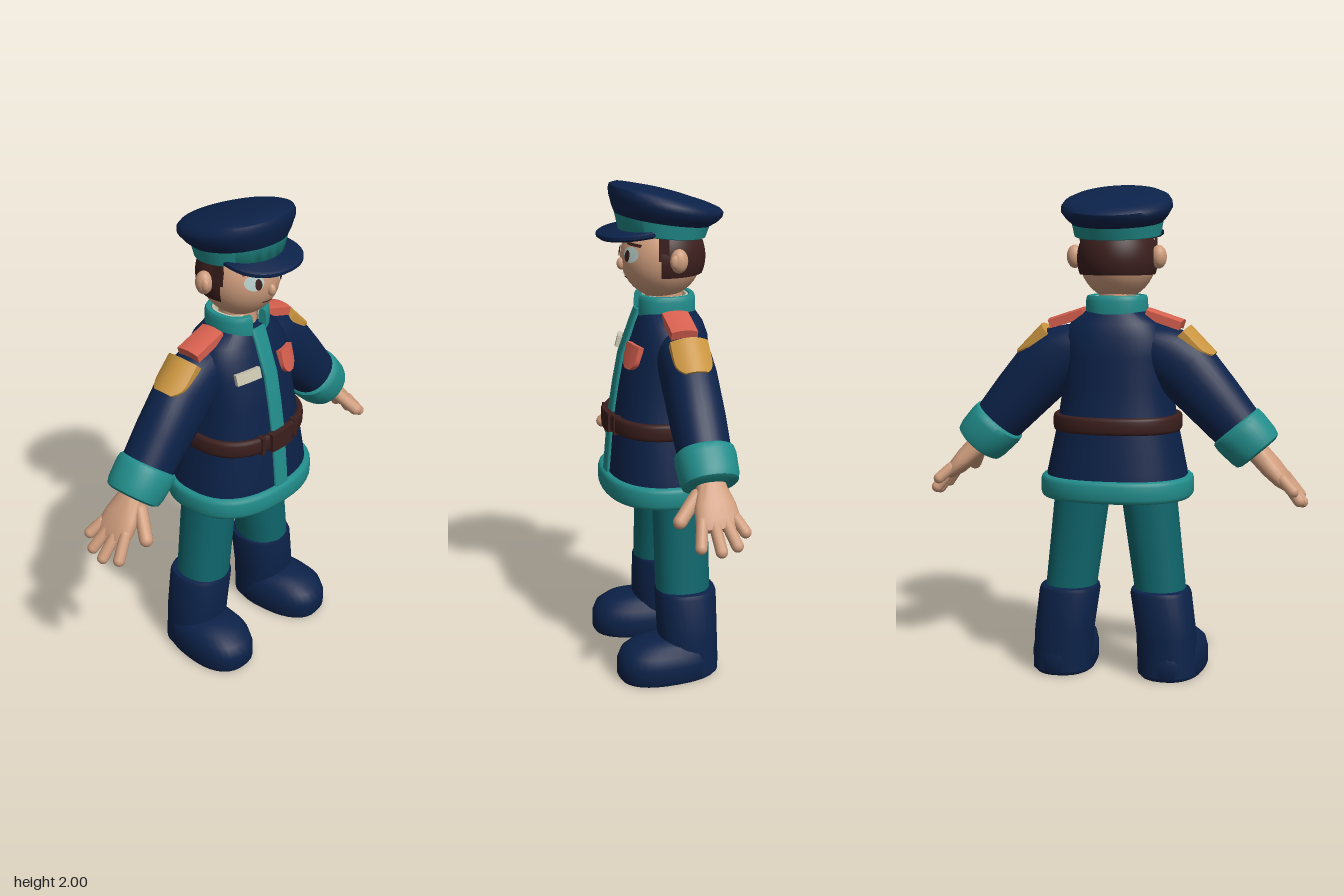
import * as THREE from 'three';
import { toCreasedNormals } from 'three/addons/utils/BufferGeometryUtils.js';

const V = (x, y, z) => new THREE.Vector3(x, y, z);
const mat = (name, color, side = THREE.FrontSide) => {
  const m = new THREE.MeshStandardMaterial({ color, side });
  m.name = name;
  return m;
};
const pw = (t, n) => Math.sign(t) * Math.abs(t) ** (2 / n);

// Skin over rings {c, u, v}: centre and two half axes, n = squareness
function loft(rings, n = 2, seg = 32, closed = false) {
  const pos = [], idx = [], R = rings.length;
  for (const { c, u, v } of rings) {
    for (let j = 0; j < seg; j++) {
      const a = (j / seg) * Math.PI * 2;
      const p = c.clone().addScaledVector(u, pw(Math.cos(a), n)).addScaledVector(v, pw(Math.sin(a), n));
      pos.push(p.x, p.y, p.z);
    }
  }
  const dir = rings[1].c.clone().sub(rings[0].c);
  const flip = rings[0].u.clone().cross(rings[0].v).dot(dir) < 0;
  const tri = (a, b, c) => (flip ? idx.push(a, c, b) : idx.push(a, b, c));
  for (let i = 0; i < (closed ? R : R - 1); i++) {
    const k = (i + 1) % R;
    for (let j = 0; j < seg; j++) {
      const m = (j + 1) % seg;
      tri(i * seg + j, i * seg + m, k * seg + m);
      tri(i * seg + j, k * seg + m, k * seg + j);
    }
  }
  if (!closed) {
    const s = R * seg, last = (R - 1) * seg;
    for (const r of [rings[0], rings[R - 1]]) pos.push(r.c.x, r.c.y, r.c.z);
    for (let j = 0; j < seg; j++) {
      const m = (j + 1) % seg;
      tri(s, m, j);
      tri(s + 1, last + j, last + m);
    }
  }
  const g = new THREE.BufferGeometry();
  g.setAttribute('position', new THREE.Float32BufferAttribute(pos, 3));
  g.setIndex(idx);
  return toCreasedNormals(g, 0.8);
}

// Ring across the body from its front and back points
const ring = (rx, yF, zF, yB, zB, x = 0) => ({
  c: V(x, (yF + yB) / 2, (zF + zB) / 2), u: V(rx, 0, 0), v: V(0, (yF - yB) / 2, (zF - zB) / 2),
});

// Band running around the body, open when gap > 0
function band(y, rx, zF, zB, thick, half, gap = 0) {
  const rings = [], N = 48;
  for (let i = 0; i < (gap ? N + 1 : N); i++) {
    const a = gap + (i / N) * (Math.PI * 2 - 2 * gap), s = Math.sin(a), c = Math.cos(a);
    rings.push({
      c: V(rx * pw(s, 2.4), y, (zF + zB) / 2 + ((zF - zB) / 2) * pw(c, 2.4)),
      u: V(s * thick, 0, c * thick), v: V(0, half, 0),
    });
  }
  return loft(rings, 3.5, 16, !gap);
}

// Plate bent over a curved surface, with an optional pointed lower end
function plate(w, h, d, bend, point = 0) {
  const g = new THREE.BoxGeometry(w, h, d, 10, 8, 1), p = g.attributes.position;
  for (let i = 0; i < p.count; i++) {
    const y = p.getY(i), t = Math.max(0, (-2 * y) / h);
    const x = p.getX(i) * (1 - point * t ** 3);
    p.setXYZ(i, x, y, p.getZ(i) - bend * x * x);
  }
  g.computeVertexNormals();
  return g;
}

export function createModel() {
  const root = new THREE.Group();
  const navy = mat('navy cloth', 0x0c2249), teal = mat('teal trim', 0x218d8b);
  const trouser = mat('dark teal cloth', 0x0f666c), skin = mat('skin', 0xcf9d7d);
  const brown = mat('dark brown', 0x3b1f1d, THREE.DoubleSide), coral = mat('coral', 0xd7604f);
  const gold = mat('gold', 0xc9943f), cream = mat('cream', 0xcac6b0), eyeWhite = mat('eye white', 0xb9d0cb);
  const add = (name, geo, m, x = 0, y = 0, z = 0) => {
    const mesh = new THREE.Mesh(geo, m);
    mesh.name = name;
    mesh.position.set(x, y, z);
    root.add(mesh);
    return mesh;
  };
  const ball = (name, m, x, y, z, sx, sy, sz) =>
    add(name, new THREE.SphereGeometry(1, 28, 20), m, x, y, z).scale.set(sx, sy, sz);
  const orient = (mesh, up, normal) => {
    const z = normal.normalize(), x = up.clone().cross(z).normalize();
    mesh.quaternion.setFromRotationMatrix(new THREE.Matrix4().makeBasis(x, z.clone().cross(x), z));
  };
  const finger = (name, a, b, r) => {
    const d = b.clone().sub(a), m = a.clone().add(b).multiplyScalar(0.5);
    const f = add(name, new THREE.CapsuleGeometry(r, d.length() - r, 6, 12), skin, m.x, m.y, m.z);
    f.quaternion.setFromUnitVectors(V(0, 1, 0), d.normalize());
  };

  // Coat: height, half width, front z, back z
  const coat = [[0.79, 0.292, 0.23, -0.235], [0.85, 0.285, 0.225, -0.23], [1.05, 0.243, 0.208, -0.2],
    [1.2, 0.22, 0.185, -0.185], [1.32, 0.22, 0.162, -0.182], [1.4, 0.215, 0.132, -0.175],
    [1.45, 0.185, 0.115, -0.158], [1.5, 0.12, 0.095, -0.125]];
  add('coat', loft(coat.map(([y, rx, f, b]) => ring(rx, y, f, y, b)), 2.4, 48), navy);
  add('placket', loft(coat.map(([y, , f]) => ({ c: V(-0.004, y, f), u: V(0.036, 0, 0), v: V(0, 0, 0.012) })), 5, 20), teal);
  add('hem', band(0.788, 0.287, 0.226, -0.231, 0.026, 0.045), teal);
  add('coatUnderside', loft([ring(0.28, 0.77, 0.22, 0.77, -0.225), ring(0.28, 0.8, 0.22, 0.8, -0.225)], 2.4), trouser);
  add('belt', band(1.048, 0.246, 0.212, -0.202, 0.016, 0.035), brown);
  add('buckle', plate(0.12, 0.078, 0.03, 1), brown, -0.005, 1.048, 0.224);
  for (const x of [-0.1, 0.09]) add('beltLoop', plate(0.02, 0.078, 0.03, 0), brown, x, 1.048, 0.207);
  add('collar', band(1.508, 0.108, 0.09, -0.118, 0.016, 0.053, 0.25), teal);
  add('innerCollar', band(1.512, 0.089, 0.07, -0.1, 0.008, 0.045, 0.5), cream);
  add('namePlate', plate(0.11, 0.045, 0.02, 1), cream, -0.115, 1.347, 0.148).rotation.set(-0.25, -0.28, 0);
  add('chestBadge', plate(0.095, 0.1, 0.024, 2, 0.65), coral, 0.112, 1.332, 0.15).rotation.set(-0.25, 0.28, 0);

  for (const s of [1, -1]) {
    // Sleeve and cuff: x, y, half height, half depth
    const n = V(0.76 * s, 0.65, 0), A = (x, y, h, d) => ({ c: V(x * s, y, -0.036), u: n.clone().multiplyScalar(h), v: V(0, 0, d) });
    add('sleeve', loft([A(0.06, 1.41, 0.05, 0.07), A(0.13, 1.375, 0.1, 0.095), A(0.2, 1.335, 0.127, 0.105),
      A(0.28, 1.275, 0.132, 0.106), A(0.4, 1.145, 0.118, 0.106), A(0.53, 1, 0.1, 0.1)], 2.2), navy);
    add('cuff', loft([A(0.485, 1.048, 0.1, 0.1), A(0.492, 1.04, 0.114, 0.114), A(0.51, 1.02, 0.117, 0.118),
      A(0.56, 0.967, 0.112, 0.114), A(0.578, 0.947, 0.105, 0.107), A(0.583, 0.941, 0.09, 0.092)], 2.2), teal);

    // Shoulder details
    orient(add('epaulette', plate(0.105, 0.15, 0.034, 3), coral, 0.2 * s, 1.472, -0.022), V(-0.95 * s, 0.31, 0), V(0.31 * s, 0.95, 0));
    orient(add('sleevePatch', plate(0.15, 0.15, 0.03, 5, 0.4), gold, 0.347 * s, 1.381, -0.034), V(-0.7 * s, 0.7, 0), V(0.72 * s, 0.7, 0));

    // Hand
    add('palm', loft([A(0.54, 0.985, 0.045, 0.05), A(0.59, 0.93, 0.044, 0.06), A(0.635, 0.882, 0.042, 0.08),
      A(0.68, 0.835, 0.034, 0.087), A(0.705, 0.808, 0.02, 0.075)], 2.4, 24), skin);
    const tips = [[0.75, 0.752, 0.05], [0.766, 0.736, -0.027], [0.758, 0.75, -0.092], [0.737, 0.795, -0.13]];
    tips.forEach(([x, y, z], i) => finger('finger', V(0.678 * s, 0.85, 0.025 - 0.041 * i), V(x * s, y, z), 0.023));
    finger('thumb', V(0.59 * s, 0.92, 0.015), V(0.652 * s, 0.825, 0.11), 0.027);

    // Leg
    const L = (x, y, r, d = r, z = -0.04) => ({ c: V(x * s, y, z), u: V(r, 0, 0), v: V(0, 0, d) });
    add('trouserLeg', loft([L(0.13, 0.82, 0.118), L(0.143, 0.72, 0.112), L(0.19, 0.34, 0.104, 0.11)], 2.2), trouser);
    // Boot shaft and foot
    add('bootShaft', loft([L(0.222, 0.02, 0.122, 0.12, -0.055), L(0.215, 0.18, 0.122, 0.122, -0.052),
      L(0.192, 0.35, 0.124, 0.124, -0.05), L(0.19, 0.366, 0.119, 0.119, -0.05), L(0.19, 0.37, 0.106, 0.106, -0.05)], 2.3), navy);
    const foot = [[0.004, 0.124, 0.2, 0.035], [0.02, 0.132, 0.21, 0.035], [0.08, 0.133, 0.211, 0.035],
      [0.125, 0.124, 0.198, 0.03], [0.155, 0.1, 0.168, 0.018], [0.172, 0.06, 0.11, 0]];
    add('bootFoot', loft(foot.map(([y, rx, rz, z]) => ({
      c: V((0.226 + 0.12 * z) * s, y, z), u: V(rx, 0, -0.12 * rx * s), v: V(0.1 * rz * s, 0, rz),
    })), 2.4), navy);
  }

  // Head and neck
  add('neck', new THREE.CylinderGeometry(0.072, 0.078, 0.16, 28), skin, 0, 1.53, -0.012);
  ball('head', skin, 0, 1.705, 0, 0.155, 0.165, 0.162);
  ball('nose', skin, 0, 1.682, 0.162, 0.015, 0.024, 0.018);
  const hair = new THREE.SphereGeometry(1, 36, 20, Math.PI - 0.28, Math.PI + 0.56, 0.4, 1.55);
  add('hair', hair, brown, 0, 1.705, -0.006).scale.set(0.163, 0.17, 0.17);
  for (const s of [1, -1]) {
    ball('ear', skin, 0.172 * s, 1.713, -0.026, 0.032, 0.047, 0.035);
    ball('innerEar', skin, 0.187 * s, 1.713, -0.01, 0.014, 0.028, 0.022);
    add('sideburn', plate(0.04, 0.09, 0.012, 0), brown, 0.15 * s, 1.755, 0.028).rotation.y = 1.35 * s;
  }

  // Face details laid over the head surface
  const onFace = (name, geo, m, x, y, off) => {
    const p = geo.attributes.position;
    for (let i = 0; i < p.count; i++) {
      const fx = p.getX(i) + x, fy = p.getY(i) + y;
      const r = 1 - (fx / 0.155) ** 2 - ((fy - 1.705) / 0.165) ** 2;
      p.setXYZ(i, fx, fy, 0.162 * Math.sqrt(Math.max(0, r)) + off);
    }
    geo.computeVertexNormals();
    add(name, geo, m);
  };
  for (const s of [1, -1]) {
    onFace('eye', new THREE.CircleGeometry(1, 28).scale(0.034, 0.031, 1), eyeWhite, 0.073 * s, 1.728, 0.004);
    onFace('iris', new THREE.CircleGeometry(1, 20).scale(0.013, 0.023, 1), brown, 0.063 * s, 1.722, 0.007);
    onFace('eyebrow', new THREE.PlaneGeometry(0.062, 0.011, 8, 1).rotateZ(-0.1 * s), brown, 0.076 * s, 1.768, 0.006);
  }
  onFace('mouth', new THREE.PlaneGeometry(0.055, 0.006, 8, 1).rotateZ(-0.1), brown, -0.006, 1.632, 0.004);

  // Cap
  add('capBand', loft([ring(0.168, 1.812, 0.165, 1.778, -0.168), ring(0.174, 1.816, 0.17, 1.78, -0.174),
    ring(0.186, 1.892, 0.187, 1.832, -0.195)], 2, 48), teal);
  add('capCrown', loft([ring(0.184, 1.88, 0.184, 1.822, -0.19), ring(0.205, 1.912, 0.196, 1.836, -0.218),
    ring(0.224, 1.95, 0.205, 1.858, -0.242), ring(0.222, 1.975, 0.208, 1.874, -0.246), ring(0.21, 1.993, 0.203, 1.888, -0.235),
    ring(0.185, 2, 0.18, 1.902, -0.205), ring(0.09, 1.987, 0.09, 1.94, -0.1)], 2, 48), navy);
  add('visor', loft([[0.155, -0.014, 0.245], [0.166, -0.006, 0.256], [0.166, 0.006, 0.256], [0.158, 0.013, 0.247]]
    .map(([rx, dy, z]) => ring(rx, 1.795 + dy, z, 1.83 + dy, -0.05)), 2.2, 48), navy);

  return root;
}
